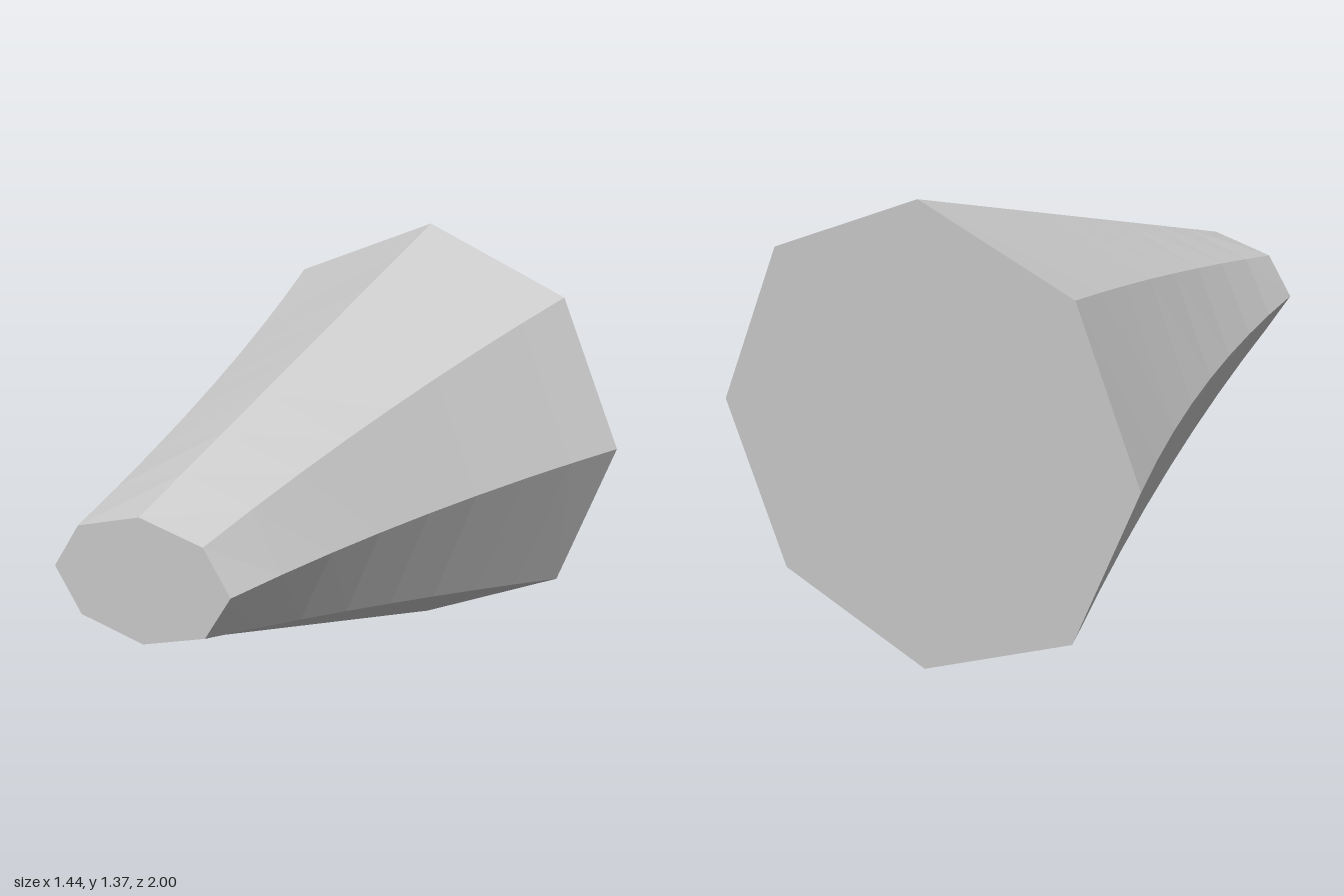
import * as THREE from 'three';

export function createModel() {
  const group = new THREE.Group();
  const grey = new THREE.MeshStandardMaterial({ color: 0xcccccc, flatShading: true });
  grey.name = 'light grey';

  // Eight-sided tapering body: wide round back, small oval front, slightly waisted sideways
  const back = new THREE.Vector3(0.065, 0.687, -0.795);
  const front = new THREE.Vector3(-0.448, 0.687, 0.92);
  const side = new THREE.Vector3(0.956, 0, 0.292);
  const { lerp } = THREE.MathUtils;

  const geometry = new THREE.CylinderGeometry(1, 1, 1, 8, 8);
  const pos = geometry.attributes.position;
  const p = new THREE.Vector3();
  for (let i = 0; i < pos.count; i++) {
    const t = pos.getY(i) + 0.5;
    const halfWidth = lerp(0.686, 0.284, t) - 0.2 * t * (1 - t);
    const halfHeight = lerp(0.687, 0.183, t);
    p.lerpVectors(back, front, t).addScaledVector(side, pos.getX(i) * halfWidth);
    p.y -= pos.getZ(i) * halfHeight;
    pos.setXYZ(i, p.x, p.y, p.z);
  }
  geometry.computeVertexNormals();

  const body = new THREE.Mesh(geometry, grey);
  body.name = 'taperedBody';
  group.add(body);
  return group;
}
